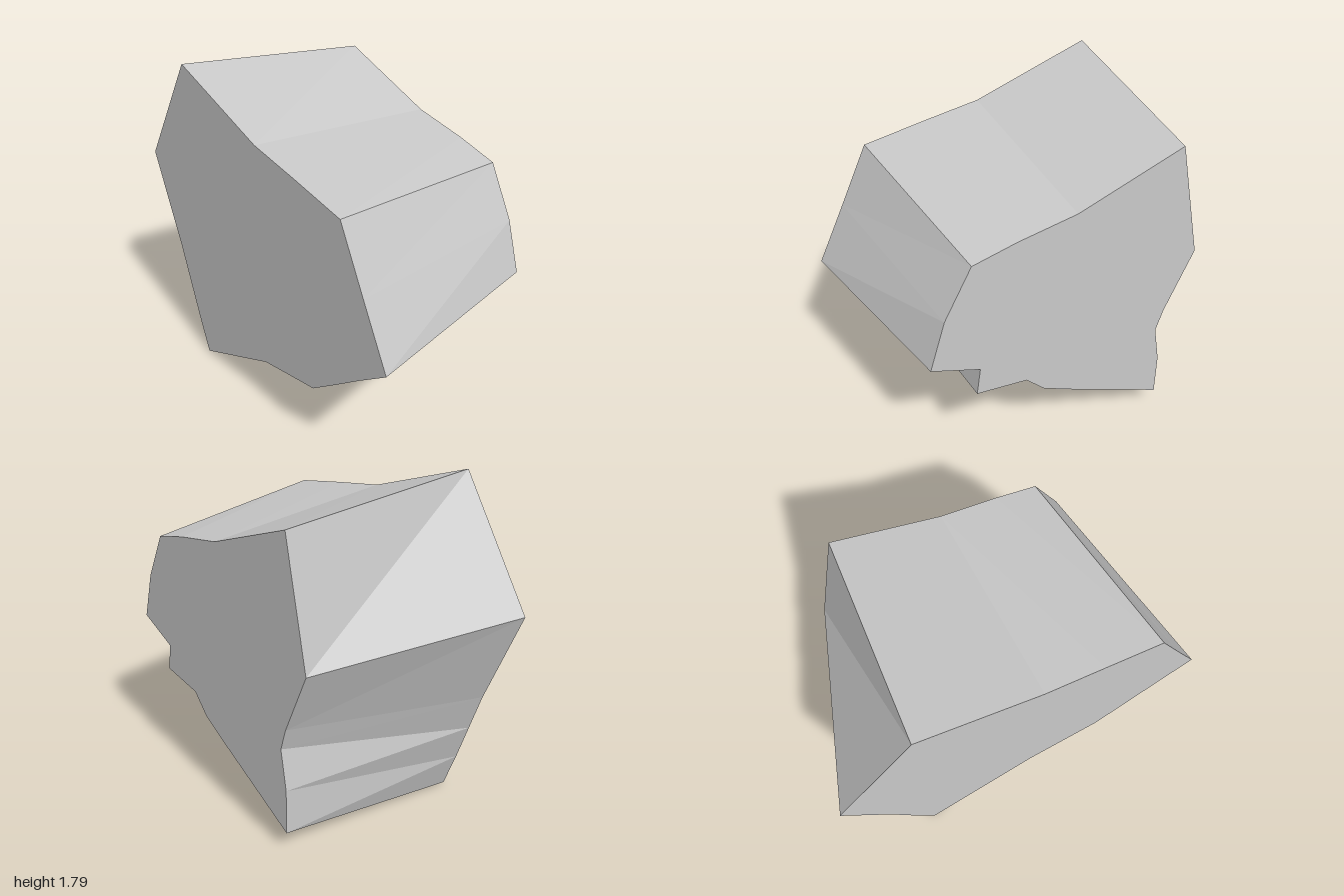
import * as THREE from 'three';

const DEPTH = 0.527; // half the thickness

// Matching outlines [x, y], clockwise as seen from the front
const frontOutline = [
  [-0.58, 1.79], [0.05, 1.58], [0.365, 1.53], [0.683, 1.475],
  [0.84, 1.16], [1, 0.845], [0.82, 0.705], [0.645, 0.562],
  [0.47, 0.422], [0.26, 0.37], [0.05, 0.317], [-0.58, 0],
  [-0.655, 0.21], [-0.725, 0.425], [-0.795, 0.64], [-1, 1.16],
];
const backOutline = [
  [-0.52, 1.683], [0.037, 1.483], [0.34, 1.428], [0.565, 1.373],
  [0.709, 1.11], [0.794, 0.845], [0.547, 0.748], [0.57, 0.594],
  [0.3, 0.562], [0.2, 0.457], [0.03, 0.37], [-0.507, 0.112],
  [-0.507, 0.362], [-0.469, 0.581], [-0.507, 0.703], [-0.661, 1.043],
];

// Flat cap filling an outline, facing +z
function capGeometry(outline, flip = 1) {
  const points = outline.map(([x, y]) => new THREE.Vector2(x * flip, y));
  return new THREE.ShapeGeometry(new THREE.Shape(points)).translate(0, 0, DEPTH);
}

// Faceted skin joining the two outlines, two triangles per step
function sideGeometry() {
  const positions = [];
  const n = frontOutline.length;
  const f = (i) => [...frontOutline[i % n], DEPTH];
  const b = (i) => [...backOutline[i % n], -DEPTH];
  for (let i = 0; i < n; i++) {
    positions.push(...f(i), ...f(i + 1), ...b(i));
    positions.push(...b(i), ...f(i + 1), ...b(i + 1));
  }
  const geometry = new THREE.BufferGeometry();
  geometry.setAttribute('position', new THREE.Float32BufferAttribute(positions, 3));
  geometry.computeVertexNormals();
  return geometry;
}

export function createModel() {
  const stone = new THREE.MeshStandardMaterial({ color: 0xc8c8c8, flatShading: true });
  stone.name = 'light stone grey';

  const rock = new THREE.Group();
  rock.name = 'rock';
  const add = (name, geometry) => {
    const mesh = new THREE.Mesh(geometry, stone);
    mesh.name = name;
    rock.add(mesh);
  };

  add('frontFace', capGeometry(frontOutline));
  add('backFace', capGeometry(backOutline, -1).rotateY(Math.PI)); // mirrored, then turned round
  add('facetedSides', sideGeometry());
  return rock;
}
